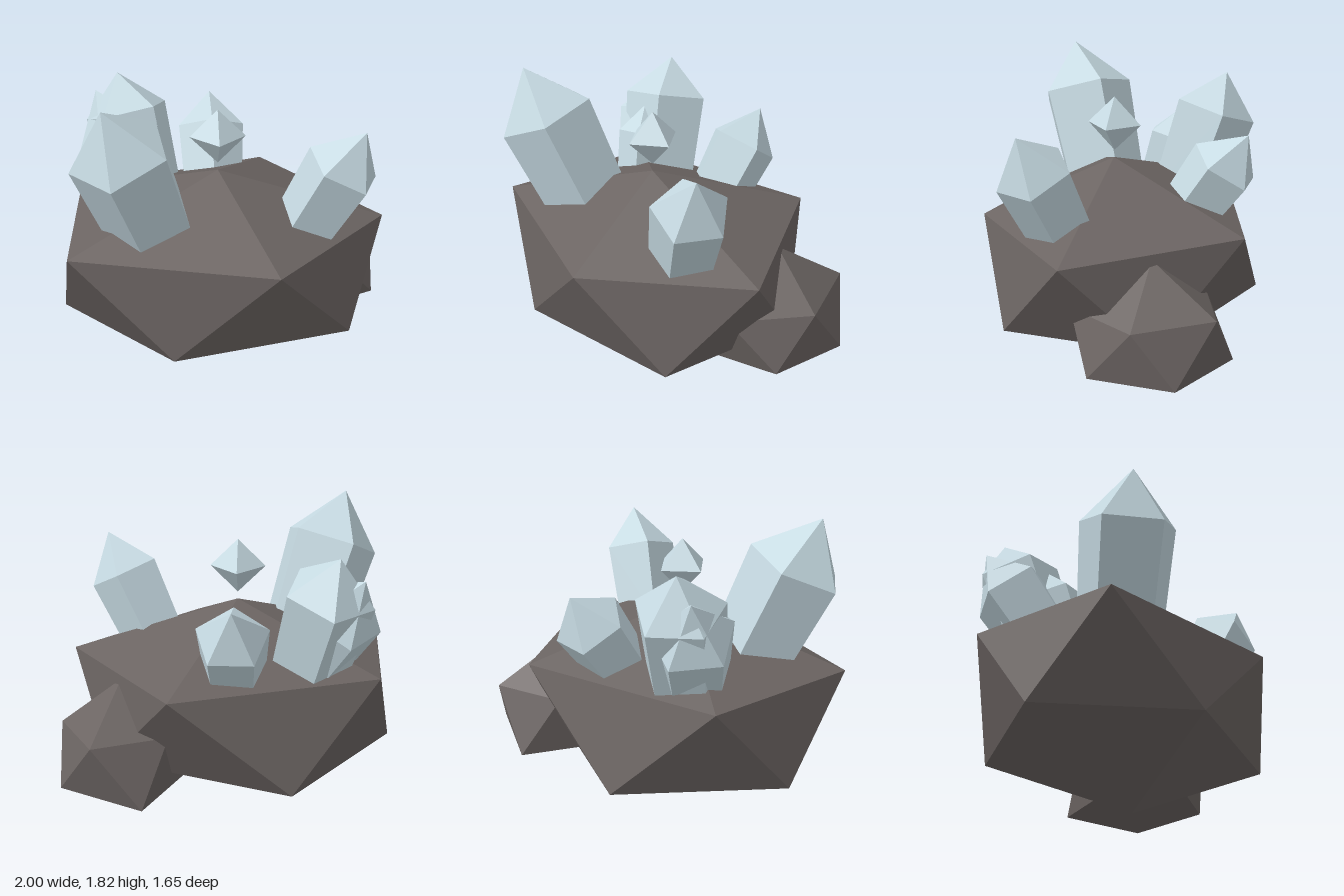
import * as THREE from 'three';
import { ConvexGeometry } from 'three/addons/geometries/ConvexGeometry.js';

const V = (p) => new THREE.Vector3(...p);

export function createModel() {
  const group = new THREE.Group();
  const rock = new THREE.MeshStandardMaterial({ color: 0x6b6462, flatShading: true });
  rock.name = 'dark stone';
  const ice = new THREE.MeshStandardMaterial({ color: 0xc6dae2, flatShading: true });
  ice.name = 'pale blue crystal';

  const add = (name, geometry, material) => {
    const mesh = new THREE.Mesh(geometry, material);
    mesh.name = name;
    group.add(mesh);
    return mesh;
  };

  // Boulders: squashed icosahedra (top, upper ring, lower ring, bottom)
  add('mainBoulder', new ConvexGeometry([
    [-0.04, 1.26, 0.07],
    [0.98, 0.92, 0.06], [0.31, 0.96, -0.83], [-0.89, 0.96, -0.43], [-0.93, 0.94, 0.57], [0.26, 0.91, 0.82],
    [-1.0, 0.365, 0.06], [-0.39, 0.37, -0.78], [0.72, 0.37, -0.4], [0.72, 0.37, 0.51], [-0.34, 0.37, 0.77],
    [-0.04, 0, 0.07],
  ].map(V)), rock);

  add('sideBoulder', new ConvexGeometry([
    [0.63, 0.9, -0.37],
    [1.0, 0.61, -0.36], [0.76, 0.64, -0.78], [0.33, 0.64, -0.61], [0.33, 0.62, -0.11], [0.74, 0.59, 0.08],
    [0.98, 0.29, -0.61], [0.98, 0.29, -0.1], [0.47, 0.27, -0.82], [0.25, 0.28, -0.36], [0.5, 0.27, 0.09],
    [0.63, 0.12, -0.36],
  ].map(V)), rock);

  // Five-sided crystal: tip, centre of the widest ring, one ring corner, shaft length
  const crystal = (name, tip, collar, corner, length) => {
    const top = V(tip), centre = V(collar);
    const axis = top.clone().sub(centre).normalize();
    const spoke = V(corner).sub(centre);
    const radius = spoke.length();
    spoke.projectOnPlane(axis).setLength(radius);
    const base = centre.clone().addScaledVector(axis, -length);
    const points = [top];
    for (let i = 0; i < 5; i++) {
      const s = spoke.clone().applyAxisAngle(axis, (i * Math.PI * 2) / 5);
      points.push(centre.clone().add(s), base.clone().addScaledVector(s, 0.88));
    }
    add(name, new ConvexGeometry(points), ice);
  };

  crystal('frontLeftCrystal', [-0.7, 1.82, 0.555], [-0.61, 1.53, 0.46], [-0.66, 1.43, 0.74], 0.68);
  crystal('frontRightCrystal', [0.79, 1.585, 0.36], [0.676, 1.348, 0.306], [0.49, 1.46, 0.23], 0.5);
  crystal('rearCrystal', [-0.04, 1.47, -0.76], [-0.04, 1.27, -0.626], [-0.04, 1.4, -0.45], 0.42);
  crystal('tallBackCrystal', [-0.63, 1.7, -0.49], [-0.58, 1.47, -0.425], [-0.41, 1.55, -0.235], 0.62);
  crystal('leaningBackCrystal', [-0.77, 1.58, -0.51], [-0.65, 1.33, -0.39], [-0.88, 1.23, -0.37], 0.5);
  crystal('smallBackCrystal', [-0.53, 1.46, -0.21], [-0.5, 1.3, -0.17], [-0.57, 1.33, -0.04], 0.42);

  // Shard hovering above the peak
  add('floatingShard', new THREE.OctahedronGeometry(0.167), ice).position.set(-0.04, 1.473, 0.067);

  return group;
}
